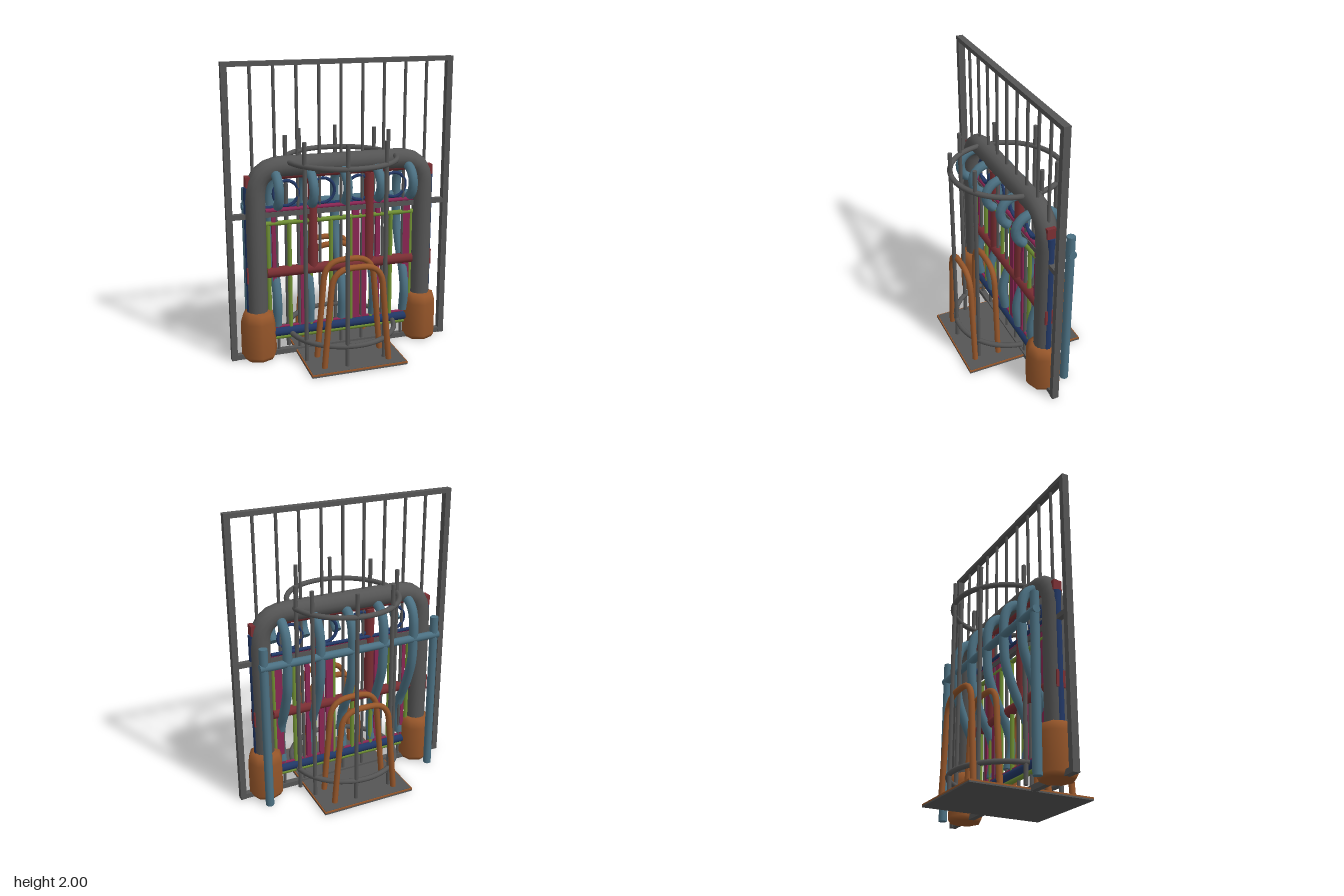
import * as THREE from 'three';

const mat = (name, color) => {
  const m = new THREE.MeshStandardMaterial({ color });
  m.name = name;
  return m;
};

export function createModel() {
  const grey = mat('grey steel', 0x555555);
  const orange = mat('orange', 0x96562a);
  const steelBlue = mat('steel blue', 0x4c7183);
  const red = mat('dull red', 0x7a2f33);
  const pink = mat('magenta', 0x8a2653);
  const green = mat('lime', 0x6f8f33);
  const navy = mat('navy', 0x223866);

  const model = new THREE.Group();
  const V = (x, y, z) => new THREE.Vector3(x, y, z);
  const group = (name) => {
    const g = new THREE.Group();
    g.name = name;
    model.add(g);
    return g;
  };
  const add = (g, name, geo, m) => {
    const mesh = new THREE.Mesh(geo, m);
    mesh.name = name;
    g.add(mesh);
    return mesh;
  };
  const box = (g, name, w, h, d, x, y, z, m) =>
    add(g, name, new THREE.BoxGeometry(w, h, d), m).position.set(x, y, z);
  // round bar between two points
  const bar = (g, name, a, b, r, m, sides = 10) => {
    const mesh = add(g, name, new THREE.CylinderGeometry(r, r, a.distanceTo(b), sides), m);
    mesh.position.copy(a).add(b).multiplyScalar(0.5);
    mesh.quaternion.setFromUnitVectors(V(0, 1, 0), b.clone().sub(a).normalize());
  };
  // bent pipe with capped ends
  const pipe = (g, name, curve, r, m, steps = 32, sides = 10) => {
    add(g, name, new THREE.TubeGeometry(curve, steps, r, sides), m);
    for (const t of [0, 1]) {
      const cap = add(g, name + 'Cap', new THREE.CircleGeometry(r, sides), m);
      cap.position.copy(curve.getPointAt(t));
      cap.quaternion.setFromUnitVectors(V(0, 0, 1),
        curve.getTangentAt(t).multiplyScalar(t ? 1 : -1));
    }
  };
  // upside-down U with rounded corners
  const hoop = (footX, topX, y0, y1, corner, z) => {
    const c = new THREE.CurvePath();
    const k = topX + (footX - topX) * corner / (y1 - y0);
    c.add(new THREE.LineCurve3(V(-footX, y0, z), V(-k, y1 - corner, z)));
    c.add(new THREE.QuadraticBezierCurve3(V(-k, y1 - corner, z), V(-topX, y1, z), V(-topX + corner, y1, z)));
    c.add(new THREE.LineCurve3(V(-topX + corner, y1, z), V(topX - corner, y1, z)));
    c.add(new THREE.QuadraticBezierCurve3(V(topX - corner, y1, z), V(topX, y1, z), V(k, y1 - corner, z)));
    c.add(new THREE.LineCurve3(V(k, y1 - corner, z), V(footX, y0, z)));
    return c;
  };

  // tall barred fence
  const fence = group('tallFence');
  for (const s of [-1, 1]) box(fence, 'fencePost', 0.04, 2, 0.046, s * 0.762, 1, 0, grey);
  box(fence, 'topRail', 1.5, 0.03, 0.046, 0, 1.985, 0, grey);
  box(fence, 'bottomRail', 1.5, 0.035, 0.04, 0, 0.018, 0, grey);
  box(fence, 'middleRail', 1.5, 0.034, 0.036, 0, 1.005, 0, grey);
  for (let i = -4; i <= 4; i++) bar(fence, 'fenceBar', V(i * 0.15, 0.02, 0), V(i * 0.15, 1.98, 0), 0.011, grey, 8);

  // thick arch in faceted feet
  const arch = group('thickArch');
  pipe(arch, 'archPipe', hoop(0.59, 0.59, 0.05, 1.322, 0.19, 0), 0.069, grey, 64, 14);
  const footProfile = [[0, 0], [0.105, 0], [0.122, 0.03], [0.122, 0.27], [0.105, 0.325], [0.07, 0.34], [0, 0.34]]
    .map(([x, y]) => new THREE.Vector2(x, y));
  for (const s of [-1, 1]) {
    const foot = add(arch, 'archFoot', new THREE.LatheGeometry(footProfile, 8), orange);
    foot.position.x = s * 0.588;
  }

  // red frame, its ends showing as small collars on the arch
  const redFrame = group('redFrame');
  bar(redFrame, 'redCrossbar', V(-0.52, 0.6, 0), V(0.52, 0.6, 0), 0.036, red);
  bar(redFrame, 'redTopBar', V(-0.54, 1.265, 0), V(0.54, 1.265, 0), 0.027, red);
  for (const s of [-1, 1]) {
    bar(redFrame, 'redPost', V(s * 0.2, 0.6, 0), V(s * 0.2, 1.24, 0), 0.033, red);
    box(redFrame, 'redLowerCollar', 0.03, 0.11, 0.06, s * 0.645, 0.6, 0, red);
    box(redFrame, 'redUpperCollar', 0.03, 0.07, 0.06, s * 0.637, 1.235, 0, red);
  }

  // navy frame with loops
  const navyFrame = group('navyFrame');
  bar(navyFrame, 'navyBottomBar', V(-0.6, 0.165, 0), V(0.6, 0.165, 0), 0.033, navy);
  for (const s of [-1, 1]) bar(navyFrame, 'navyPost', V(s * 0.634, 0.2, 0), V(s * 0.634, 1.2, 0), 0.03, navy);
  bar(navyFrame, 'navyUpperBar', V(-0.52, 1.045, -0.02), V(0.52, 1.045, -0.02), 0.012, navy);
  for (const x of [-0.38, -0.13, 0.13, 0.38])
    add(navyFrame, 'navyLoop', new THREE.TorusGeometry(0.085, 0.011, 8, 20), navy).position.set(x, 1.14, 0);

  // magenta panel
  const panel = group('magentaPanel');
  bar(panel, 'magentaTopBar', V(-0.52, 1.03, 0), V(0.52, 1.03, 0), 0.015, pink);
  bar(panel, 'magentaBottomBar', V(-0.5, 0.2, 0), V(0.5, 0.2, 0), 0.01, pink);
  for (const [x, w] of [[-0.47, 0.025], [-0.265, 0.05], [0.105, 0.05], [0.165, 0.035], [0.265, 0.03], [0.475, 0.05]])
    box(panel, 'magentaSlat', w, 0.83, 0.024, x, 0.615, 0, pink);

  // lime railing
  const railing = group('limeRailing');
  for (const y of [0.125, 0.94]) bar(railing, 'limeRail', V(-0.53, y, 0), V(0.53, y, 0), 0.016, green);
  for (let i = 0; i < 8; i++) {
    const x = (i - 3.5) * 0.145;
    bar(railing, 'limeBar', V(x, 0.125, 0), V(x, 0.94, 0), 0.015, green, 8);
  }

  // blue rack: rear bar, legs and five hooks
  const rack = group('hookRack');
  bar(rack, 'rackBar', V(-0.65, 1.03, -0.155), V(0.65, 1.03, -0.155), 0.027, steelBlue);
  for (const s of [-1, 1]) bar(rack, 'rackLeg', V(s * 0.62, 0, -0.15), V(s * 0.62, 1.16, -0.15), 0.029, steelBlue);
  const hookPath = [[1.08, 0.095], [1.12, 0.135], [1.2, 0.147], [1.26, 0.105], [1.285, 0.03], [1.28, -0.06],
    [1.24, -0.115], [1.16, -0.145], [1.0, -0.148], [0.85, -0.138], [0.74, -0.105], [0.62, -0.055],
    [0.5, 0.005], [0.38, 0.03], [0.22, 0.01]];
  for (let i = -2; i <= 2; i++) {
    const path = new THREE.CatmullRomCurve3(hookPath.map(([y, z]) => V(i * 0.23, y, z)));
    pipe(rack, 'hook', path, 0.032, steelBlue, 48);
  }

  // base plate with four hoops
  const stand = group('hoopStand');
  box(stand, 'plateUnderside', 0.665, 0.01, 0.855, 0, 0.005, 0, grey);
  box(stand, 'plateRim', 0.665, 0.01, 0.855, 0, 0.015, 0, orange);
  box(stand, 'plateSheet', 0.65, 0.004, 0.84, 0, 0.0205, 0, grey);
  for (const z of [-0.345, -0.17, 0.17, 0.345])
    pipe(stand, 'hoop', hoop(0.225, 0.165, 0.02, 0.7, 0.13, z), 0.02, orange, 48);

  // round cage: paired half rings and upright bars
  const cage = group('roundCage');
  const R = 0.37;
  for (const y of [0.16, 1.355])
    for (const s of [-1, 1]) {
      const pts = [];
      for (let i = 0; i <= 12; i++) {
        const a = 0.14 + (Math.PI - 0.28) * i / 12;
        pts.push(V(R * Math.cos(a), y, s * R * Math.sin(a)));
      }
      pipe(cage, 'halfRing', new THREE.CatmullRomCurve3(pts), 0.018, grey, 24, 8);
    }
  for (let i = 0; i < 8; i++) {
    const a = Math.PI / 16 + i * Math.PI / 4;
    const z = R * Math.sin(a) * (i === 0 ? -1 : 1);
    bar(cage, 'cageBar', V(R * Math.cos(a), 0.02, z), V(R * Math.cos(a), 1.51, z), 0.0145, grey, 8);
  }
  return model;
}
